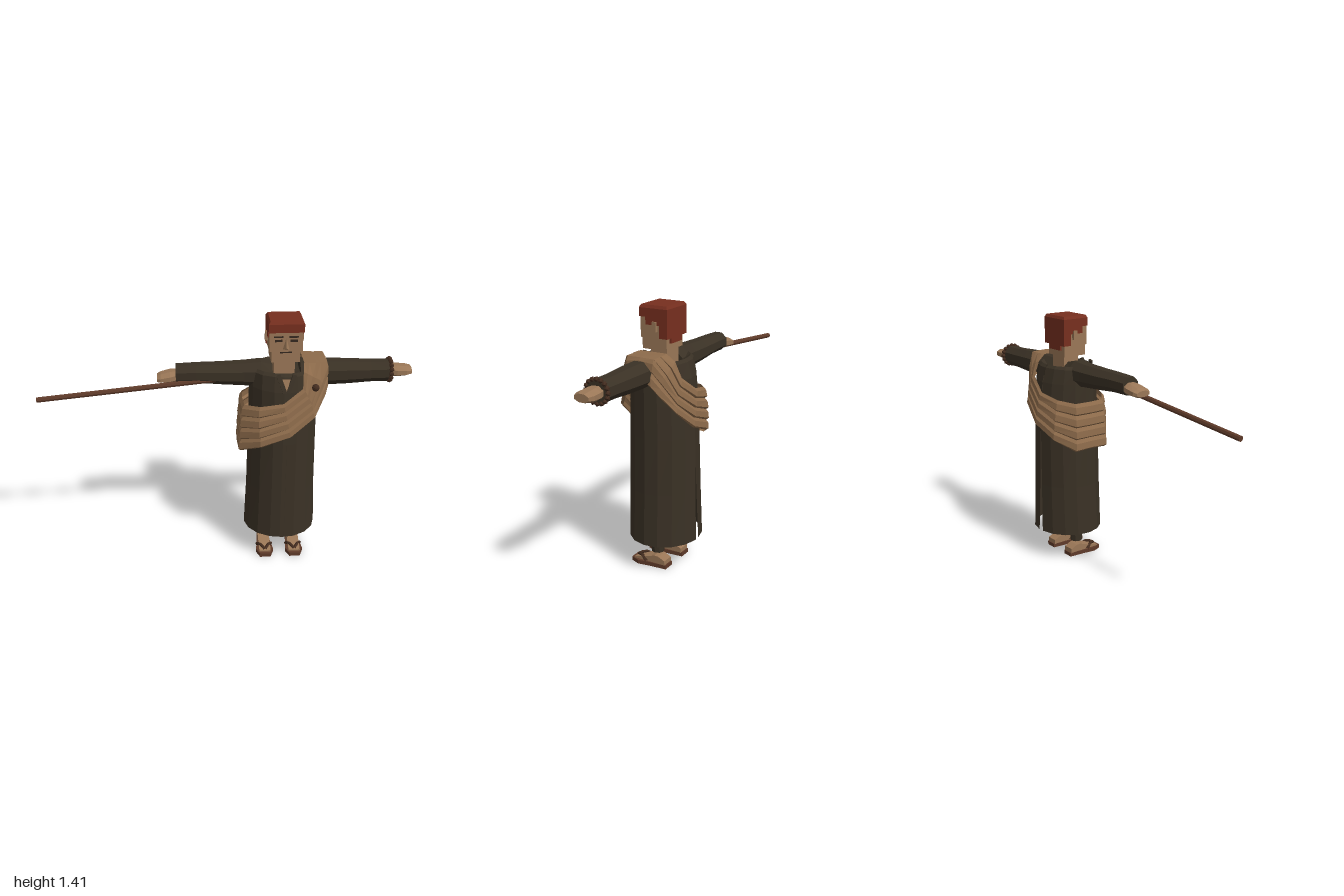
import * as THREE from 'three';

const CX = 0.313; // body axis

const mat = (name, color, side = THREE.FrontSide) => {
  const m = new THREE.MeshStandardMaterial({ color, side });
  m.name = name;
  return m;
};

export function createModel() {
  const model = new THREE.Group();
  const robe = mat('dark robe', 0x3a3125, THREE.DoubleSide);
  const cloth = mat('tan shawl', 0x8d6b4b, THREE.DoubleSide);
  const skin = mat('skin', 0x9a7757, THREE.DoubleSide);
  const hair = mat('red hair', 0x772f1f);
  const wood = mat('brown wood', 0x5f3b2a);
  const bead = mat('dark beads', 0x432c1f);
  const ink = mat('face lines', 0x33271e);

  const add = (name, geo, material) => {
    const g = geo.index ? geo.toNonIndexed() : geo;
    g.computeVertexNormals(); // faceted normals
    const m = new THREE.Mesh(g, material);
    m.name = name;
    model.add(m);
    return m;
  };
  // box from min/max corners, with the top face scaled by `taper`
  const box = (name, material, x0, x1, y0, y1, z0, z1, taper = 1) => {
    const g = new THREE.BoxGeometry(x1 - x0, y1 - y0, z1 - z0);
    const p = g.attributes.position;
    for (let i = 0; i < p.count; i++) {
      if (p.getY(i) > 0) p.setXYZ(i, p.getX(i) * taper, p.getY(i), p.getZ(i) * taper);
    }
    g.translate((x0 + x1) / 2, (y0 + y1) / 2, (z0 + z1) / 2);
    return add(name, g, material);
  };
  // surface through rows of points
  const loft = (name, material, rows) => {
    const n = rows[0].length, index = [];
    for (let i = 0; i < rows.length - 1; i++) {
      for (let j = 0; j < n - 1; j++) {
        const a = i * n + j, b = a + n;
        index.push(a, b, a + 1, a + 1, b, b + 1);
      }
    }
    const g = new THREE.BufferGeometry();
    g.setAttribute('position', new THREE.Float32BufferAttribute(rows.flat(2), 3));
    g.setIndex(index);
    return add(name, g, material);
  };
  // eight-sided limb along x; sections are [x, centreY, halfY, halfZ]
  const limb = (name, material, sections) => {
    const s = [...sections], f = s[0], l = s[s.length - 1];
    s.unshift([f[0], f[1], 0, 0]);
    s.push([l[0], l[1], 0, 0]);
    loft(name, material, s.map(([x, cy, hy, hz]) => Array.from({ length: 9 }, (_, j) => {
      const a = (j + 0.5) * Math.PI / 4;
      return [x, cy + hy * 1.08 * Math.sin(a), hz * 1.08 * Math.cos(a)];
    })));
  };

  // Robe: two halves that overlap in front and part in a slit at the back
  const profile = [ // y, halfX, halfZ, back gap
    [1.10, 0.05, 0.05, 0], [1.115, 0.1, 0.095, 0], [1.145, 0.165, 0.125, 0],
    [1.13, 0.182, 0.14, 0], [1.05, 0.186, 0.162, 0], [0.93, 0.187, 0.175, 0], [0.75, 0.189, 0.181, 0],
    [0.45, 0.194, 0.187, 0.035], [0.165, 0.205, 0.194, 0.07],
  ];
  for (const side of [-1, 1]) {
    const k = side > 0 ? 1 : 0.985;
    const rows = profile.map(([y, hx, hz, gap]) => Array.from({ length: 9 }, (_, j) => {
      const a = side * (-0.06 + (Math.PI - gap + 0.06) * j / 8);
      return [CX + Math.sin(a) * hx * k, y, Math.cos(a) * hz * k];
    }));
    if (side < 0) rows.forEach((r) => r.reverse());
    loft(side > 0 ? 'robeLeft' : 'robeRight', robe, rows);
  }
  // Open collar showing the chest
  loft('chest', skin, [
    [[CX - 0.025, 1.125, 0.152], [CX + 0.02, 1.125, 0.152]],
    [[CX, 1.06, 0.169], [CX + 0.002, 1.06, 0.169]],
  ]);
  for (const s of [-1, 1]) {
    const lapel = box('lapel', robe, -0.011, 0.011, -0.05, 0.05, -0.006, 0.006);
    lapel.position.set(CX + s * 0.026, 1.1, 0.156);
    lapel.rotation.set(-0.25, 0, -s * 0.35);
  }

  // Sleeves and hands
  limb('rightSleeve', robe, [[-0.26, 1.108, 0.048, 0.05], [-0.15, 1.11, 0.05, 0.056],
    [-0.03, 1.105, 0.056, 0.06], [0.1, 1.103, 0.063, 0.063], [0.19, 1.103, 0.07, 0.07], [0.25, 1.1, 0.06, 0.07]]);
  limb('leftSleeve', robe, [[0.4, 1.1, 0.06, 0.06], [0.55, 1.1, 0.066, 0.064], [0.66, 1.1, 0.063, 0.062],
    [0.78, 1.1, 0.056, 0.056], [0.89, 1.1, 0.056, 0.054]]);
  limb('rightHand', skin, [[-0.36, 1.085, 0.016, 0.042], [-0.34, 1.088, 0.024, 0.053],
    [-0.29, 1.095, 0.03, 0.055], [-0.24, 1.1, 0.03, 0.04]]);
  limb('leftHand', skin, [[0.87, 1.1, 0.03, 0.035], [0.92, 1.1, 0.031, 0.05],
    [0.97, 1.1, 0.027, 0.052], [1.0, 1.1, 0.02, 0.04]]);
  // Bead bracelet
  for (let i = 0; i < 16; i++) {
    const a = i * Math.PI / 8;
    add('braceletBead', new THREE.IcosahedronGeometry(0.014, 0), bead)
      .position.set(0.885, 1.102 + 0.058 * Math.sin(a), 0.062 * Math.cos(a));
  }

  // Staff
  const staff = add('staff', new THREE.CylinderGeometry(0.015, 0.015, 1.0, 8), wood);
  staff.position.set(-0.5, 1.039, 0.04);
  staff.rotation.z = Math.atan2(0.1, 1) - Math.PI / 2;

  // Shawl: stations from the right hip to the left shoulder [upper, middle, lower]
  const half = [
    [[0.095, 0.955, 0], [0.085, 0.82, 0], [0.08, 0.69, 0]],
    [[0.1, 0.955, 0.09], [0.088, 0.82, 0.095], [0.083, 0.685, 0.1]],
    [[0.18, 0.97, 0.153], [0.18, 0.85, 0.17], [0.19, 0.74, 0.175]],
    [[0.3, 0.995, 0.175], [0.32, 0.9, 0.18], [0.34, 0.8, 0.182]],
    [[0.4, 1.07, 0.155], [0.44, 0.99, 0.155], [0.46, 0.9, 0.158]],
    [[0.405, 1.15, 0.12], [0.49, 1.1, 0.12], [0.52, 1.0, 0.09]],
    [[0.412, 1.185, 0.075], [0.528, 1.182, 0.075], [0.535, 1.04, 0.06]],
    [[0.412, 1.185, 0], [0.53, 1.185, 0], [0.535, 1.08, 0]],
  ];
  const back = half.slice(0, -1).reverse().map((s) => s.map(([x, y, z]) => [x, y, -z]));
  const folds = [];
  for (let k = 0; k < 4; k++) folds.push([k / 4, 0], [(k + 0.3) / 4, 0.012], [(k + 0.85) / 4, 0.014]);
  folds.push([1, 0]);
  loft('shawl', cloth, folds.map(([v, out]) => [...half, ...back].map(([up, mid, low]) => {
    const p = v < 0.5
      ? new THREE.Vector3(...up).lerp(new THREE.Vector3(...mid), v * 2)
      : new THREE.Vector3(...mid).lerp(new THREE.Vector3(...low), v * 2 - 1);
    const d = new THREE.Vector3(p.x - CX, 0, p.z).normalize();
    return p.addScaledVector(d, out).toArray();
  })));
  add('shawlButton', new THREE.IcosahedronGeometry(0.02, 1), bead).position.set(0.467, 1.073, 0.15);

  // Head
  box('neck', skin, CX - 0.055, CX + 0.055, 1.05, 1.2, -0.05, 0.045);
  box('jaw', skin, CX - 0.075, CX + 0.075, 1.19, 1.25, -0.062, 0.08);
  box('face', skin, CX - 0.087, CX + 0.087, 1.25, 1.37, -0.068, 0.082);
  box('hairCap', hair, CX - 0.093, CX + 0.093, 1.355, 1.4, -0.076, 0.087);
  box('hairTop', hair, CX - 0.093, CX + 0.093, 1.4, 1.415, -0.076, 0.087, 0.9);
  box('hairBack', hair, CX - 0.093, CX + 0.093, 1.253, 1.36, -0.076, -0.03);
  box('hairNape', hair, CX - 0.05, CX + 0.05, 1.225, 1.255, -0.074, -0.05);
  for (const s of [-1, 1]) {
    const x = CX + s * 0.09;
    box('hairSide', hair, x - 0.003, x + 0.003, 1.317, 1.36, -0.03, 0.05);
    box('ear', skin, x - 0.012, x + 0.012, 1.285, 1.335, -0.016, 0.008);
    const e = CX + s * 0.04;
    box('eye', ink, e - 0.02, e + 0.02, 1.305, 1.317, 0.08, 0.085);
    box('eyebrow', ink, e - 0.024, e + 0.024, 1.328, 1.336, 0.08, 0.087);
  }
  box('mouth', ink, CX - 0.03, CX + 0.03, 1.243, 1.249, 0.078, 0.084);
  // wedge nose
  const tip = [CX, 1.275, 0.106], top = [CX, 1.33, 0.081];
  const nl = [CX - 0.018, 1.262, 0.081], nr = [CX + 0.018, 1.262, 0.081];
  loft('nose', skin, [[top, top, top], [nl, tip, nr], [nl, nl, nr]]);

  // Legs, feet and sandals
  for (const s of [-1, 1]) {
    const x = CX + s * 0.085;
    const leg = add('trouserLeg', new THREE.CylinderGeometry(0.06, 0.034, 0.6, 8), robe);
    leg.position.set(x, 0.385, 0);
    // outline drawn with z forward as shape y
    const sole = new THREE.Shape([[-0.032, -0.065], [0.032, -0.065], [0.04, 0.03], [0.05, 0.1], [0.03, 0.15],
      [-0.03, 0.15], [-0.05, 0.1], [-0.04, 0.03]].map(([a, b]) => new THREE.Vector2(a, b)));
    const soleGeo = new THREE.ExtrudeGeometry(sole, { depth: 0.022, bevelEnabled: false });
    soleGeo.rotateX(Math.PI / 2).translate(x, 0.022, 0);
    add('sandalSole', soleGeo, wood);
    const side = new THREE.Shape([[-0.058, 0.02], [0.13, 0.02], [0.13, 0.03], [0.09, 0.04], [0.03, 0.056],
      [0.005, 0.066], [-0.02, 0.064], [-0.058, 0.046]].map(([a, b]) => new THREE.Vector2(a, b)));
    const footGeo = new THREE.ExtrudeGeometry(side, { depth: 0.066, bevelEnabled: false });
    footGeo.rotateY(-Math.PI / 2).translate(x + 0.033, 0, 0);
    add('foot', footGeo, skin);
    for (const t of [-1, 1]) {
      const path = new THREE.CatmullRomCurve3([new THREE.Vector3(x, 0.034, 0.125),
        new THREE.Vector3(x + t * 0.022, 0.046, 0.09), new THREE.Vector3(x + t * 0.042, 0.024, 0.05)]);
      add('sandalStrap', new THREE.TubeGeometry(path, 4, 0.009, 5), bead);
    }
  }
  return model;
}
